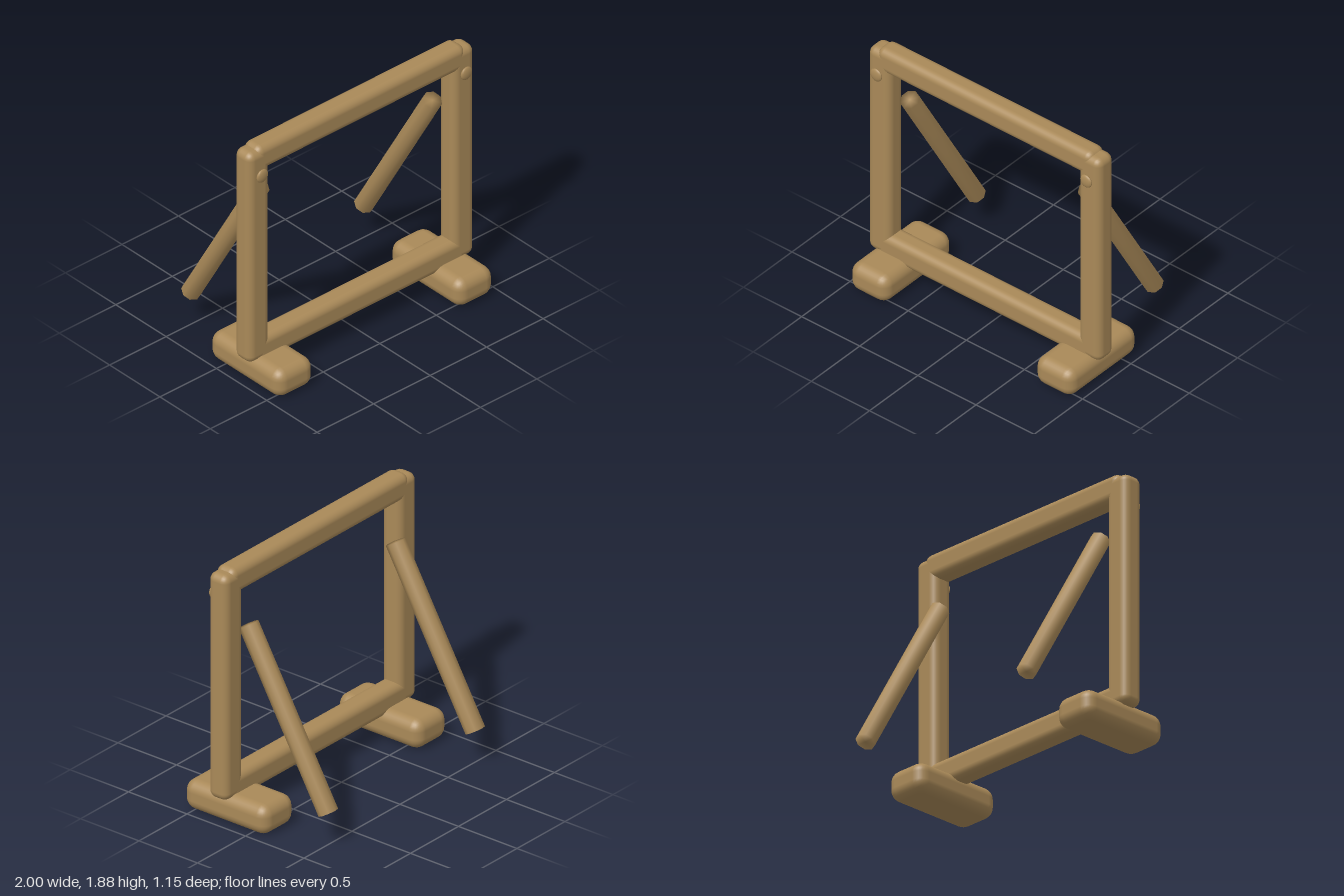
import * as THREE from 'three';
import { RoundedBoxGeometry } from 'three/addons/geometries/RoundedBoxGeometry.js';
import { mergeVertices } from 'three/addons/utils/BufferGeometryUtils.js';

const wood = new THREE.MeshStandardMaterial({ color: 0xa98958 });
wood.name = 'wood';

export function createModel() {
  const model = new THREE.Group();
  model.name = 'standingFrame';

  const add = (name, geometry, x, y, z) => {
    const mesh = new THREE.Mesh(geometry, wood);
    mesh.name = name;
    mesh.position.set(x, y, z);
    model.add(mesh);
    return mesh;
  };

  // Horizontal rails
  const rail = new RoundedBoxGeometry(1.85, 0.19, 0.162, 3, 0.055);
  add('topRail', rail, 0, 1.785, 0.248);
  add('bottomRail', rail, 0, 0.253, 0.248);

  // Shared shapes for the two sides
  const post = new RoundedBoxGeometry(0.19, 1.675, 0.162, 3, 0.055);
  const foot = new RoundedBoxGeometry(0.325, 0.217, 0.71, 3, 0.08);
  const peg = new THREE.SphereGeometry(0.049, 16, 10);

  // Eight-sided rod, shaded smoothly all the way round
  let rod = new THREE.CylinderGeometry(0.07, 0.07, 1.363, 8);
  rod.deleteAttribute('uv');
  rod.deleteAttribute('normal');
  rod = mergeVertices(rod);
  rod.computeVertexNormals();

  for (const [side, s] of [['left', 1], ['right', -1]]) {
    add(side + 'Post', post, s * 0.905, 1.02, 0.248);
    add(side + 'Foot', foot, s * 0.797, 0.1085, 0.221);
    add(side + 'Peg', peg, s * 0.903, 1.675, 0.347).scale.z = 0.36;
    // Rear brace leaning forward towards the post
    add(side + 'Brace', rod, s * 0.765, 0.839, -0.175).rotation.x = Math.PI / 6;
  }
  return model;
}
